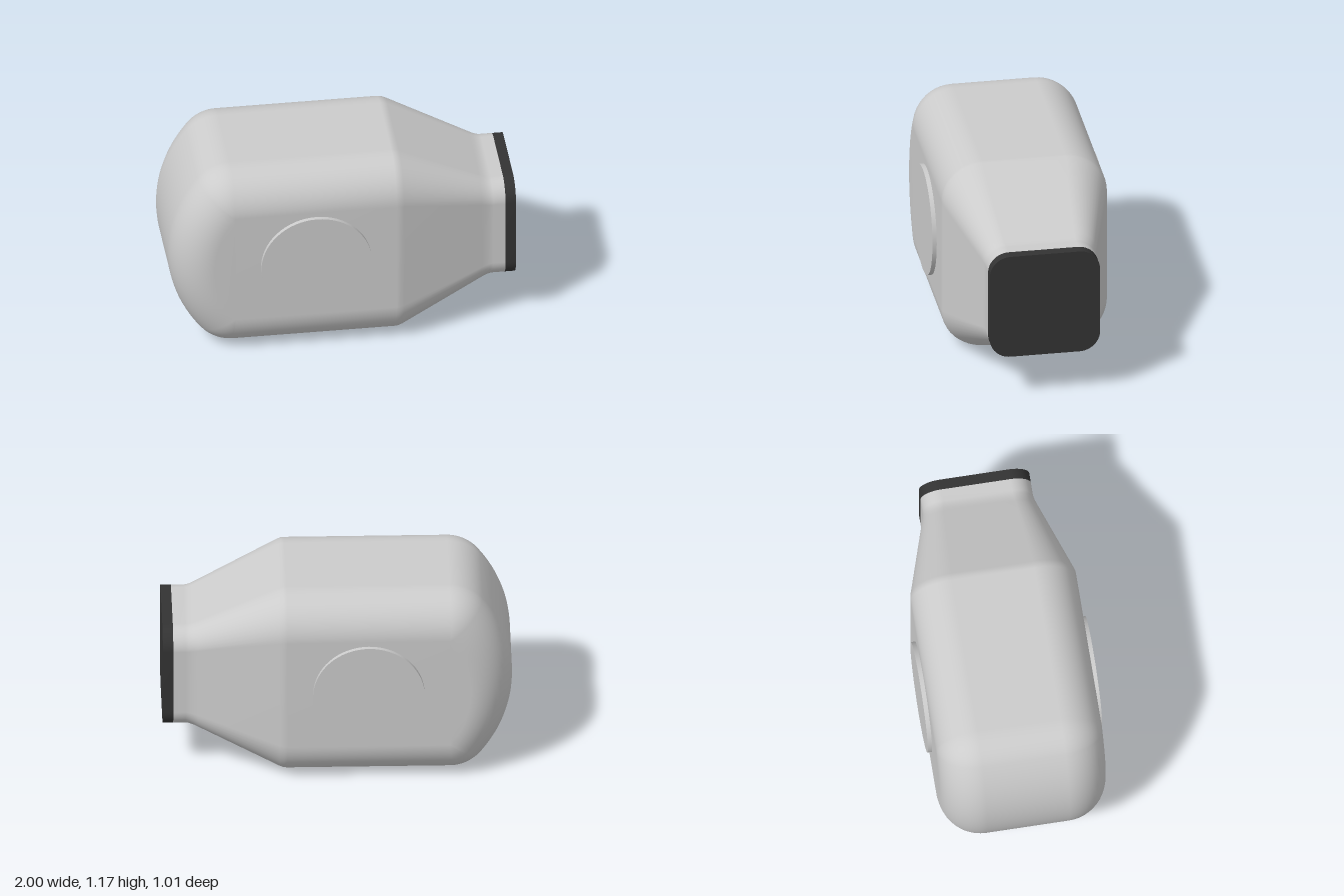
import * as THREE from 'three';
import { mergeGeometries, mergeVertices, toCreasedNormals } from 'three/addons/utils/BufferGeometryUtils.js';

const CY = 0.585;           // height of the long axis
const HY = 0.585, HZ = 0.48, R = 0.24; // body half height, half depth, edge radius
const STEPS = 12;           // segments per rounded corner
const quarter = Math.PI / 2;

// Rounded rectangle outline as [z, y] points, counterclockwise
function ring(hy, hz, r) {
  const pts = [];
  for (let k = 0; k < 4; k++) {
    const sz = k === 0 || k === 3 ? 1 : -1, sy = k < 2 ? 1 : -1;
    for (let i = 0; i <= STEPS; i++) {
      const a = (k + i / STEPS) * quarter;
      pts.push([sz * (hz - r) + r * Math.cos(a), sy * (hy - r) + r * Math.sin(a)]);
    }
  }
  return pts;
}

// Surface through rows of [x, y, z] points
function skin(rows) {
  const n = rows[0].length, index = [];
  for (let i = 0; i < rows.length - 1; i++) {
    for (let j = 0; j < n - 1; j++) {
      const a = i * n + j, b = a + n;
      index.push(a, b, b + 1, a, b + 1, a + 1);
    }
  }
  const g = new THREE.BufferGeometry();
  g.setAttribute('position', new THREE.Float32BufferAttribute(rows.flat(2), 3));
  g.setIndex(index);
  return g;
}

function bodyGeometry() {
  // Bowed end: an arc of radius 0.8 with its edges rounded by R
  const arcX = -0.2, arcR = 0.8 - R, coreY = HY - R, coreZ = HZ - R;
  const joinX = arcX - Math.sqrt(arcR * arcR - coreY * coreY);
  const tilt = Math.asin(coreY / arcR);
  const profile = []; // core point and outward angle, from top to bottom
  for (let i = 0; i <= STEPS; i++) {
    profile.push([joinX, coreY, quarter + (quarter - tilt) * i / STEPS]);
  }
  for (let i = 1; i <= 32; i++) {
    const a = Math.PI - tilt + 2 * tilt * i / 32;
    profile.push([arcX + arcR * Math.cos(a), arcR * Math.sin(a), a]);
  }
  for (let i = 1; i <= STEPS; i++) {
    profile.push([joinX, -coreY, Math.PI + tilt + (quarter - tilt) * i / STEPS]);
  }
  const endRows = profile.map(([x, y, a]) => {
    const row = [[joinX, CY + y, -HZ]];
    for (const side of [-1, 1]) {
      for (let i = 0; i <= STEPS; i++) {
        const phi = (side < 0 ? i / STEPS - 1 : i / STEPS) * quarter;
        const d = R * Math.cos(phi);
        row.push([x + d * Math.cos(a), CY + y + d * Math.sin(a), side * coreZ + R * Math.sin(phi)]);
      }
    }
    row.push([joinX, CY + y, HZ]);
    return row;
  });

  // Straight barrel, taper and neck: x, half height, half depth, corner radius
  const stations = [
    [joinX, HY, HZ, R], [0.29, HY, HZ, R], [0.31, 0.583, 0.479, 0.239], [0.335, 0.574, 0.473, 0.235],
    [0.8, 0.342, 0.333, 0.127], [0.825, 0.33, 0.326, 0.122], [0.85, 0.322, 0.321, 0.12],
    [0.87, 0.32, 0.32, 0.12], [0.94, 0.32, 0.32, 0.12],
  ];
  const rows = stations.map(([x, hy, hz, r]) => {
    const row = ring(hy, hz, r).map(([z, y]) => [x, CY + y, z]);
    row.push([...row[0]]);
    return row;
  });

  const g = mergeVertices(mergeGeometries([skin(endRows), skin(rows)]), 1e-4);
  g.computeVertexNormals();
  return g;
}

export function createModel() {
  const model = new THREE.Group();
  model.name = 'taperedHousing';
  const grey = new THREE.MeshStandardMaterial({ color: 0xcccccc });
  const dark = new THREE.MeshStandardMaterial({ color: 0x333333 });
  const add = (name, geometry, material, x, y, z) => {
    const mesh = new THREE.Mesh(geometry, material);
    mesh.name = name;
    mesh.position.set(x, y, z);
    model.add(mesh);
  };

  add('body', bodyGeometry(), grey, 0, 0, 0);

  // Dark plate closing the neck
  const outline = new THREE.Shape(ring(0.32, 0.32, 0.12).map(([z, y]) => new THREE.Vector2(z, y)));
  const plate = new THREE.ExtrudeGeometry(outline, { depth: 0.06, bevelEnabled: false });
  plate.rotateY(quarter);
  add('endPlate', toCreasedNormals(plate, 0.6), dark, 0.94, CY, 0);

  // Round raised pad on each side
  for (const side of [1, -1]) {
    const pad = new THREE.CylinderGeometry(0.32, 0.32, 0.06, 64).rotateX(quarter);
    add(side > 0 ? 'frontPad' : 'backPad', pad, grey, -0.175, CY, side * 0.475);
  }
  return model;
}
